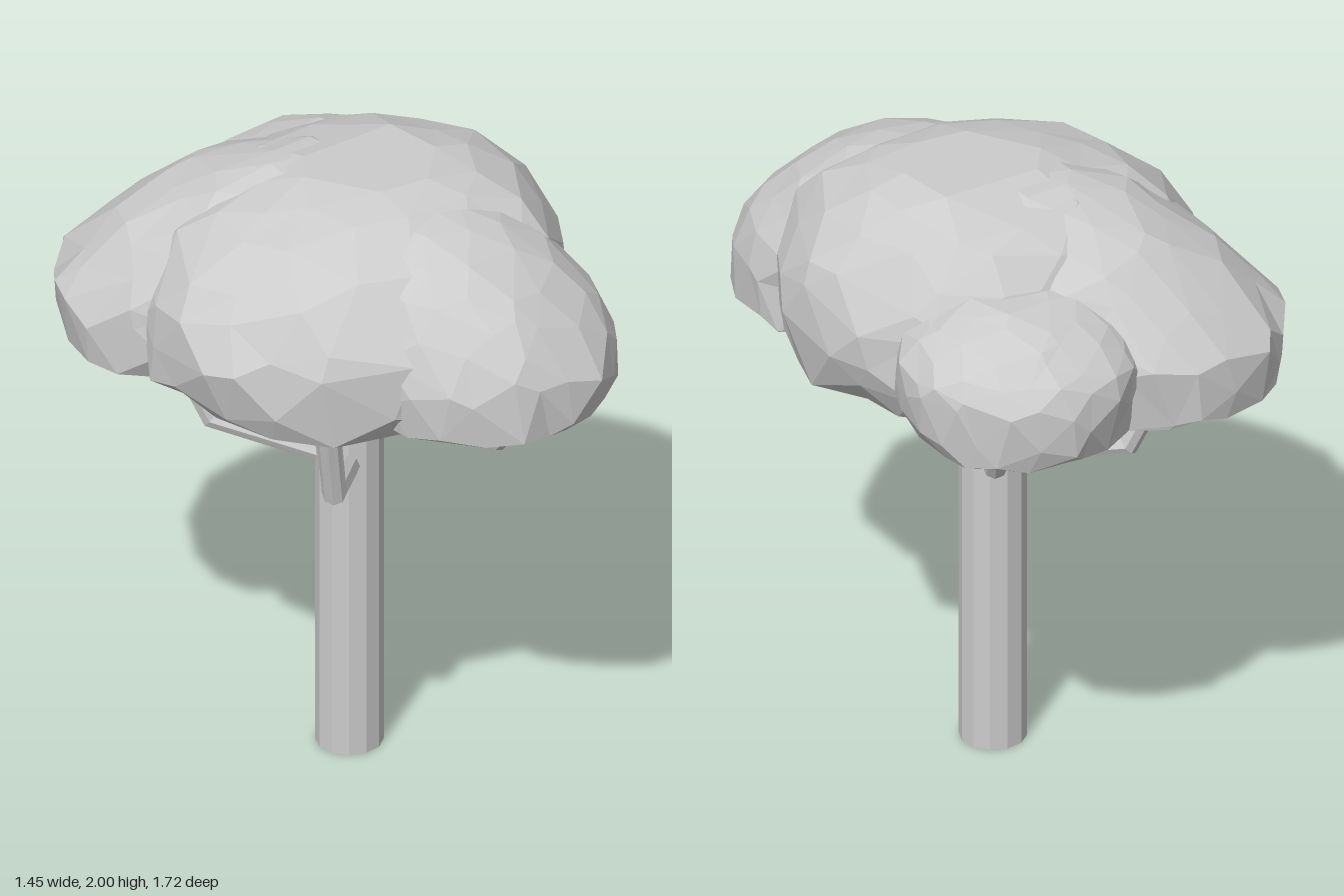
import * as THREE from 'three';

const leafMaterial = new THREE.MeshStandardMaterial({ color: 0xcccccc, flatShading: true });
const barkMaterial = new THREE.MeshStandardMaterial({ color: 0xcccccc, flatShading: true });

// Repeatable value in -1..1 for a direction, so shared corners move together
function noise(v, seed) {
  const r = (n) => Math.round(n * 1000) / 1000;
  const s = Math.sin(r(v.x) * 12.99 + r(v.y) * 78.23 + r(v.z) * 37.72 + seed * 4.13) * 43758.5;
  return (s - Math.floor(s)) * 2 - 1;
}

// Faceted dome with a flat underside; its upper half leans by [x, z],
// and a larger flare keeps the sides steeper down to the underside
function foliage(name, { center, radii, lean, flare, base, top, seed }) {
  const geometry = new THREE.IcosahedronGeometry(1, 3);
  const pos = geometry.attributes.position;
  const dir = new THREE.Vector3();
  for (let i = 0; i < pos.count; i++) {
    dir.fromBufferAttribute(pos, i);
    const [size, dx, dy, dz] = [0, 1, 2, 3].map((n) => noise(dir, seed + n));
    dir.set(dir.x + 0.08 * dx, dir.y + 0.08 * dy, dir.z + 0.08 * dz).setLength(1.01 + 0.03 * size);
    const rise = Math.max(0, dir.y);
    const y = center[1] + dir.y * radii[1] * (dir.y < 0 ? flare : 1);
    pos.setXYZ(
      i,
      center[0] + dir.x * radii[0] + rise * lean[0],
      THREE.MathUtils.clamp(y, base, top),
      center[2] + dir.z * radii[2] + rise * lean[1]
    );
  }
  geometry.computeVertexNormals();
  const mesh = new THREE.Mesh(geometry, leafMaterial);
  mesh.name = name;
  return mesh;
}

// Straight runs through three points, mitred at the elbow
class BentPath extends THREE.Curve {
  constructor(points) {
    super();
    this.points = points.map((q) => new THREE.Vector3(...q));
  }
  getPoint(t, target = new THREE.Vector3()) {
    const [a, b, c] = this.points;
    return t < 0.5 ? target.lerpVectors(a, b, t * 2) : target.lerpVectors(b, c, t * 2 - 1);
  }
  getUtoTmapping(u) {
    return u;
  }
}

function branch(name, points, radius = 0.038) {
  const mesh = new THREE.Mesh(new THREE.TubeGeometry(new BentPath(points), 2, radius, 8), barkMaterial);
  mesh.name = name;
  return mesh;
}

export function createModel() {
  const tree = new THREE.Group();
  tree.name = 'tree';

  // Trunk
  const trunk = new THREE.Mesh(new THREE.CylinderGeometry(0.104, 0.104, 1.42, 12), barkMaterial);
  trunk.name = 'trunk';
  trunk.position.set(0.05, 0.71, 0.01);
  tree.add(trunk);

  // Branches start inside the trunk and end inside the foliage
  const branches = new THREE.Group();
  branches.name = 'branches';
  branches.add(
    branch('frontBranch', [[0.06, 1.14, 0.03], [0.29, 1.225, 0.5], [0.33, 1.43, 0.67]]),
    branch('frontRightBranch', [[0.04, 0.98, 0.03], [-0.24, 1.15, 0.43], [-0.29, 1.43, 0.48]]),
    branch('backRightBranch', [[0.04, 0.98, 0.0], [-0.27, 1.075, -0.27], [-0.41, 1.43, -0.36]]),
    branch('backBranch', [[0.06, 1.02, -0.02], [0.28, 1.24, -0.49], [0.32, 1.43, -0.6]]),
    branch('leftBranch', [[0.06, 1.06, 0.01], [0.38, 1.26, 0.01], [0.45, 1.43, 0.01]]),
    branch('frontTwig', [[0.03, 1.22, 0.06], [0, 1.3, 0.11], [-0.03, 1.43, 0.16]], 0.026),
    branch('backTwig', [[0.06, 1.22, -0.03], [0.11, 1.3, -0.09], [0.15, 1.43, -0.13]], 0.026)
  );
  tree.add(branches);

  // Canopy: a broad crown with three lobes that lean into it
  const canopy = new THREE.Group();
  canopy.name = 'canopy';
  canopy.add(
    foliage('crown', {
      center: [0.04, 1.58, 0.035], radii: [0.665, 0.45, 0.6], lean: [0.09, -0.02],
      flare: 1.25, base: 1.372, top: 2, seed: 1
    }),
    foliage('frontLobe', {
      center: [0.27, 1.54, 0.45], radii: [0.41, 0.42, 0.41], lean: [-0.1, -0.16],
      flare: 1.4, base: 1.4, top: 1.96, seed: 7
    }),
    foliage('backLobe', {
      center: [0.21, 1.58, -0.5], radii: [0.37, 0.24, 0.365], lean: [0, 0.05],
      flare: 2, base: 1.395, top: 1.81, seed: 13
    }),
    foliage('backRightLobe', {
      center: [-0.285, 1.55, -0.355], radii: [0.43, 0.45, 0.43], lean: [0.26, 0.24],
      flare: 1.4, base: 1.385, top: 1.99, seed: 19
    })
  );
  tree.add(canopy);
  return tree;
}
